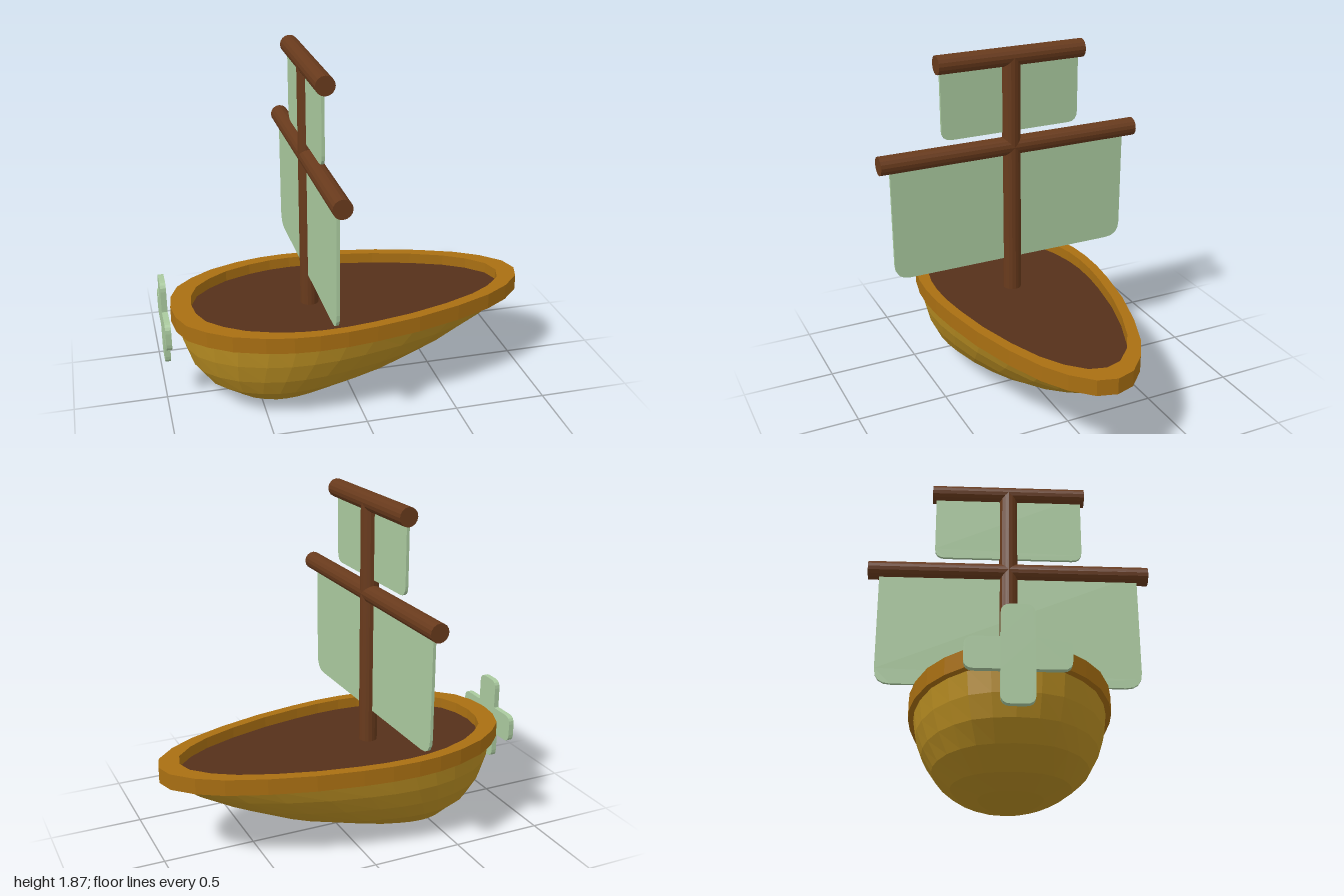
import * as THREE from 'three';

const WOOD = 0x683a1c, DECK = 0x55301a, RIM = 0xa96f12, HULL = 0xb88d22, CLOTH = 0xaaca9f;
const MAST_X = -0.195;

const material = (color) => new THREE.MeshStandardMaterial({ color, flatShading: true });

function addMesh(parent, name, geometry, color) {
  const mesh = new THREE.Mesh(geometry, material(color));
  mesh.name = name;
  parent.add(mesh);
  return mesh;
}

// Plan outline of the boat as [x, z], bow to stern on one side, then mirrored
const HALF = [[1, 0], [0.97, 0.1], [0.87, 0.2], [0.74, 0.28], [0.54, 0.36], [0.3, 0.43],
  [0.06, 0.475], [-0.1, 0.495], [-0.25, 0.5], [-0.38, 0.49], [-0.52, 0.46], [-0.68, 0.4],
  [-0.8, 0.32], [-0.89, 0.23], [-0.935, 0.12], [-0.95, 0]];
const OUTLINE = [...HALF, ...HALF.slice(1, -1).reverse().map(([x, z]) => [x, -z])];
const MID = 0.025;

const outlinePoints = (s) =>
  OUTLINE.map(([x, z]) => new THREE.Vector2(MID + (x - MID) * s, z * s));

// Hull: rings of the outline, shrinking and sliding aft toward the keel
function hullGeometry() {
  // [stern x, bow x, half width, stern y, bow y]
  const rings = [
    [-0.91, 0.96, 0.475, 0.47, 0.47],
    [-0.895, 0.84, 0.46, 0.35, 0.385],
    [-0.86, 0.66, 0.427, 0.245, 0.285],
    [-0.79, 0.41, 0.375, 0.15, 0.175],
    [-0.66, 0.1, 0.285, 0.063, 0.083],
    [-0.52, -0.13, 0.155, 0.02, 0.022],
    [-0.34, -0.34, 0, 0, 0],
  ];
  const n = OUTLINE.length, pos = [], index = [];
  for (const [x0, x1, w, y0, y1] of rings) {
    for (const [x, z] of OUTLINE) {
      const t = (x + 0.95) / 1.95;
      pos.push(x0 + (x1 - x0) * t, y0 + (y1 - y0) * t, (z / 0.5) * w);
    }
  }
  for (let k = 0; k < rings.length - 1; k++) {
    for (let i = 0; i < n; i++) {
      const j = (i + 1) % n, a = k * n + i, b = k * n + j;
      index.push(a, b, a + n);
      if (k < rings.length - 2) index.push(b, b + n, a + n);
    }
  }
  const g = new THREE.BufferGeometry();
  g.setAttribute('position', new THREE.Float32BufferAttribute(pos, 3));
  g.setIndex(index);
  g.computeVertexNormals();
  return g;
}

// Slab of the plan outline lying flat from y upward
function planSlab(shape, y, height) {
  return new THREE.ExtrudeGeometry(shape, { depth: height, bevelEnabled: false })
    .rotateX(-Math.PI / 2).translate(0, y, 0);
}

// Thin panel in the zy plane, starting at x
function sidePanel(shape, x, thickness) {
  return new THREE.ExtrudeGeometry(shape, { depth: thickness, bevelEnabled: false, curveSegments: 4 })
    .rotateY(Math.PI / 2).translate(x, 0, 0);
}

// Sail with square top and rounded lower corners
function sailShape(w, bottom, top, r) {
  const s = new THREE.Shape();
  s.moveTo(-w, top);
  s.lineTo(-w, bottom + r);
  s.quadraticCurveTo(-w, bottom, -w + r, bottom);
  s.lineTo(w - r, bottom);
  s.quadraticCurveTo(w, bottom, w, bottom + r);
  s.lineTo(w, top);
  s.closePath();
  return s;
}

// Four equal arms with rounded tips
function crossShape(len, w, r) {
  const s = new THREE.Shape();
  for (let i = 0; i < 4; i++) {
    const a = i * Math.PI / 2, c = Math.cos(a), d = Math.sin(a);
    const p = (x, y) => [x * c - y * d, x * d + y * c];
    if (i === 0) s.moveTo(...p(w, -w));
    else s.lineTo(...p(w, -w));
    s.lineTo(...p(len - r, -w));
    s.quadraticCurveTo(...p(len, -w), ...p(len, -w + r));
    s.lineTo(...p(len, w - r));
    s.quadraticCurveTo(...p(len, w), ...p(len - r, w));
  }
  s.closePath();
  return s;
}

export function createModel() {
  const boat = new THREE.Group();
  boat.name = 'sailingBoat';

  // Hull, rim and recessed deck
  addMesh(boat, 'hull', hullGeometry(), HULL);
  const rim = new THREE.Shape(outlinePoints(1));
  rim.holes.push(new THREE.Path(outlinePoints(0.887)));
  addMesh(boat, 'rim', planSlab(rim, 0.463, 0.087), RIM);
  addMesh(boat, 'deck', planSlab(new THREE.Shape(outlinePoints(0.89)), 0.468, 0.022), DECK);

  // Mast
  const mast = addMesh(boat, 'mast', new THREE.CylinderGeometry(0.05, 0.05, 1.34, 16), WOOD);
  mast.position.set(MAST_X, 1.15, 0);

  // Yards, each carrying a sail
  const rigs = [
    { name: 'main', y: 1.333, half: 0.745, sail: 0.685, bottom: 0.672, r: 0.085 },
    { name: 'top', y: 1.82, half: 0.415, sail: 0.395, bottom: 1.413, r: 0.055 },
  ];
  for (const { name, y, half, sail, bottom, r } of rigs) {
    const yard = addMesh(boat, name + 'Yard',
      new THREE.CylinderGeometry(0.05, 0.05, half * 2, 16).rotateX(Math.PI / 2), WOOD);
    yard.position.set(MAST_X, y, 0);
    addMesh(boat, name + 'Sail', sidePanel(sailShape(sail, bottom, y, r), -0.211, 0.016), CLOTH);
  }

  // Propeller behind the stern
  const propeller = addMesh(boat, 'propeller', sidePanel(crossShape(0.238, 0.077, 0.045), -1, 0.03), CLOTH);
  propeller.position.y = 0.488;

  return boat;
}
